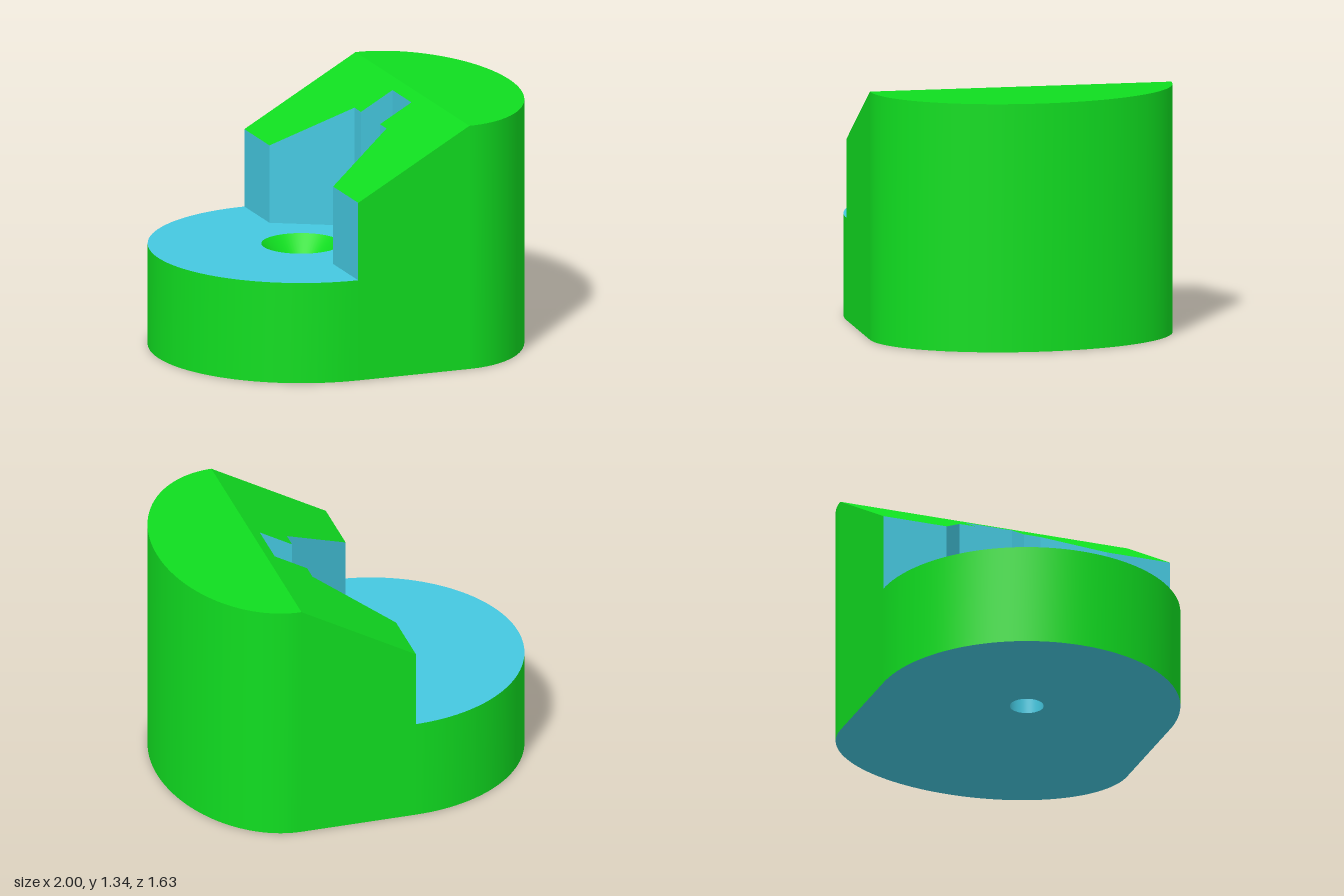
import * as THREE from 'three';

const R = 0.815, CX = -0.185, SX = 0.45;      // rear radius, step position, end of the slope
const FLOOR = 0.55, STEP = 0.975, TOP = 1.335; // heights
const BORE = 0.09, SINK = 0.212, SINK_DEPTH = 0.12;

const green = new THREE.MeshStandardMaterial({ color: 0x10dd20 });
const blue = new THREE.MeshStandardMaterial({ color: 0x45c8e0 });

// Height of the block's roof at x
const roofY = (x) => Math.min(TOP, STEP + (x - CX) / (SX - CX) * (TOP - STEP));

// Plan points [x, z] on an elliptical arc
function arc(cx, rx, rz, from, to, n = 64) {
  return Array.from({ length: n + 1 }, (_, i) => {
    const a = from + (to - from) * i / n;
    return [cx + rx * Math.cos(a), rz * Math.sin(a)];
  });
}

// Vertical wall along plan points, from y0 up to topY(x)
function wall(points, y0, topY, flat) {
  const pos = [], index = [];
  points.forEach(([x, z], i) => {
    pos.push(x, y0, z, x, topY(x), z);
    const a = 2 * i;
    if (i < points.length - 1) index.push(a, a + 2, a + 3, a, a + 3, a + 1);
  });
  let geo = new THREE.BufferGeometry();
  geo.setAttribute('position', new THREE.Float32BufferAttribute(pos, 3));
  geo.setIndex(index);
  if (flat) geo = geo.toNonIndexed();
  geo.computeVertexNormals();
  return geo;
}

// Horizontal face from plan points, optionally with a round hole
function plate(points, hole, down) {
  const shape = new THREE.Shape(points.map(([x, z]) => new THREE.Vector2(x, -z)));
  if (hole) shape.holes.push(new THREE.Path().absarc(CX, 0, hole, 0, Math.PI * 2, true));
  const geo = new THREE.ShapeGeometry(shape, 32);
  geo.rotateX(down ? Math.PI / 2 : -Math.PI / 2);
  return geo;
}

export function createModel() {
  const group = new THREE.Group();
  const add = (name, geo, mat) => {
    const mesh = new THREE.Mesh(geo, mat);
    mesh.name = name;
    group.add(mesh);
    return mesh;
  };

  // Plan curves: round rear, elliptical nose and the stepped notch
  const rear = arc(CX, R, R, Math.PI * 1.5, Math.PI * 0.5);
  const nose = arc(SX, 1 - SX, R, Math.PI / 2, -Math.PI / 2);
  const half = [[CX, 0.455], [0.21, 0.23], [0.21, 0.136], [0.39, 0.136]];
  const notch = [...half.map(([x, z]) => [x, -z]), ...half.slice().reverse()];

  // Outer walls
  add('baseWall', wall(rear, 0, () => FLOOR), green);
  add('blockWall', wall([[CX, R], ...nose, [CX, -R]], 0, roofY), green);

  // Underside and floor
  add('underside', plate([...rear, ...nose], BORE, true), blue);
  add('floor', plate([...rear, ...notch.slice().reverse()], SINK), blue);

  // Notch walls and step faces
  add('notchWalls', wall([[CX, -R], ...notch, [CX, R]], FLOOR, roofY, true), blue);

  // Sloped and flat roof
  const slope = plate([[CX, -R], ...notch, [CX, R], [SX, R], [SX, -R]]);
  const p = slope.attributes.position;
  for (let i = 0; i < p.count; i++) p.setY(i, roofY(p.getX(i)));
  slope.computeVertexNormals();
  add('slopedRoof', slope, green);
  add('flatRoof', plate(nose), green).position.y = TOP;
  group.getObjectByName('floor').position.y = FLOOR;

  // Countersunk screw hole
  const lathe = (...pts) => new THREE.LatheGeometry(pts.map(([r, y]) => new THREE.Vector2(r, y)), 64);
  add('countersink', lathe([SINK, FLOOR], [BORE, FLOOR - SINK_DEPTH]), green).position.x = CX;
  add('bore', lathe([BORE, FLOOR - SINK_DEPTH], [BORE, 0]), blue).position.x = CX;

  return group;
}
